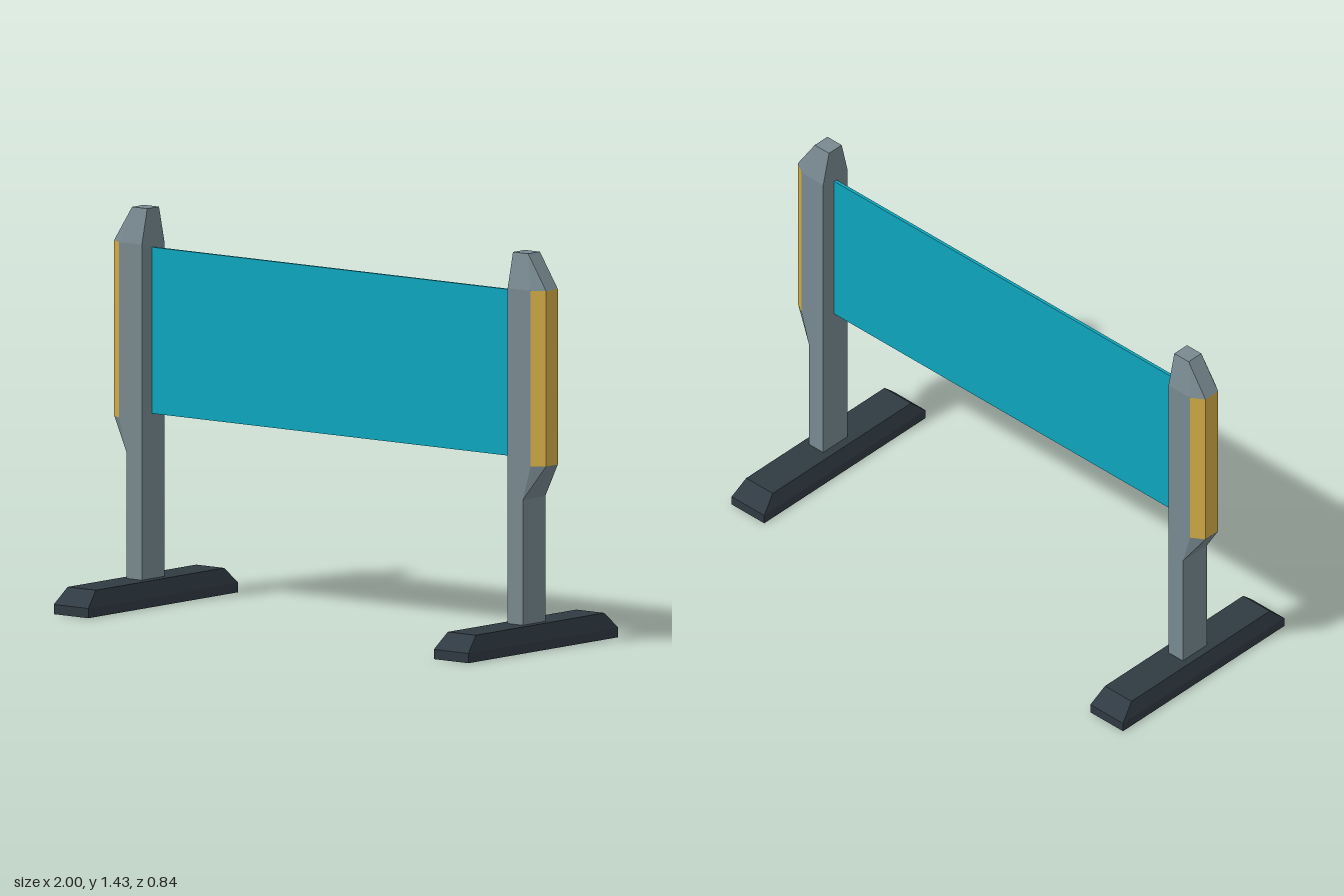
import * as THREE from 'three';

const material = (name, color) => {
  const m = new THREE.MeshStandardMaterial({ color });
  m.name = name;
  return m;
};

// Flat-faced geometry through rings of [x, y, z] points, counter-clockwise from above.
// Faces chosen by pick(band, side) are kept; caps close both ends.
function loft(rings, pick = () => true, caps = true) {
  const pos = [];
  const tri = (a, b, c) => {
    const [A, B, C] = [a, b, c].map(p => new THREE.Vector3(...p));
    if (B.sub(A).cross(C.sub(A)).length() > 1e-8) pos.push(...a, ...b, ...c);
  };
  const n = rings[0].length;
  for (let r = 0; r < rings.length - 1; r++) {
    for (let i = 0; i < n; i++) {
      if (!pick(r, i)) continue;
      const j = (i + 1) % n, lo = rings[r], hi = rings[r + 1];
      tri(lo[i], lo[j], hi[j]);
      tri(lo[i], hi[j], hi[i]);
    }
  }
  if (caps) {
    const lo = rings[0], hi = rings[rings.length - 1];
    for (let i = 1; i < n - 1; i++) {
      tri(hi[0], hi[i], hi[i + 1]);
      tri(lo[0], lo[i + 1], lo[i]);
    }
  }
  const g = new THREE.BufferGeometry();
  g.setAttribute('position', new THREE.Float32BufferAttribute(pos, 3));
  g.computeVertexNormals();
  return g;
}

// Post section: inner edge, shoulder and outer nose, mirrored in z
const postRing = (y, mid, out, depth, nose) => [
  [0.847, y, depth], [mid, y, depth], [out, y, nose],
  [out, y, -nose], [mid, y, -depth], [0.847, y, -depth],
];

const footRing = (y, halfX, halfZ) => [
  [0.88 - halfX, y, halfZ], [0.88 + halfX, y, halfZ],
  [0.88 + halfX, y, -halfZ], [0.88 - halfX, y, -halfZ],
];

export function createModel() {
  const model = new THREE.Group();
  model.name = 'barrier';
  const grey = material('post grey', 0x788990);
  const yellow = material('marker yellow', 0xd4ad45);
  const teal = material('panel teal', 0x0ea5bc);
  const dark = material('foot charcoal', 0x303a42);

  const postRings = [
    postRing(0.08, 0.917, 0.917, 0.063, 0.063),
    postRing(0.545, 0.917, 0.917, 0.063, 0.063),
    postRing(0.67, 0.953, 1.0, 0.063, 0.033),
    postRing(1.303, 0.953, 1.0, 0.063, 0.033),
    postRing(1.43, 0.917, 0.917, 0.033, 0.033),
  ];
  // The three outer faces of the widened section are coloured
  const isMarker = (band, side) => band === 2 && side >= 1 && side <= 3;
  const postGeo = loft(postRings, (b, s) => !isMarker(b, s));
  const markerGeo = loft(postRings, isMarker, false);
  const footGeo = loft([footRing(0, 0.08, 0.42), footRing(0.035, 0.08, 0.42), footRing(0.093, 0.065, 0.36)]);

  // Each end is the same support, turned to face outward
  for (const [name, turn] of [['left', 0], ['right', Math.PI]]) {
    const support = new THREE.Group();
    support.name = name + 'Support';
    for (const [part, geo, mat] of [['post', postGeo, grey], ['marker', markerGeo, yellow], ['foot', footGeo, dark]]) {
      const mesh = new THREE.Mesh(geo, mat);
      mesh.name = part;
      support.add(mesh);
    }
    support.rotation.y = turn;
    model.add(support);
  }

  // Thin panel between the posts
  const panel = new THREE.Mesh(new THREE.BoxGeometry(1.70, 0.6, 0.012), teal);
  panel.name = 'panel';
  panel.position.y = 0.988;
  model.add(panel);

  return model;
}
